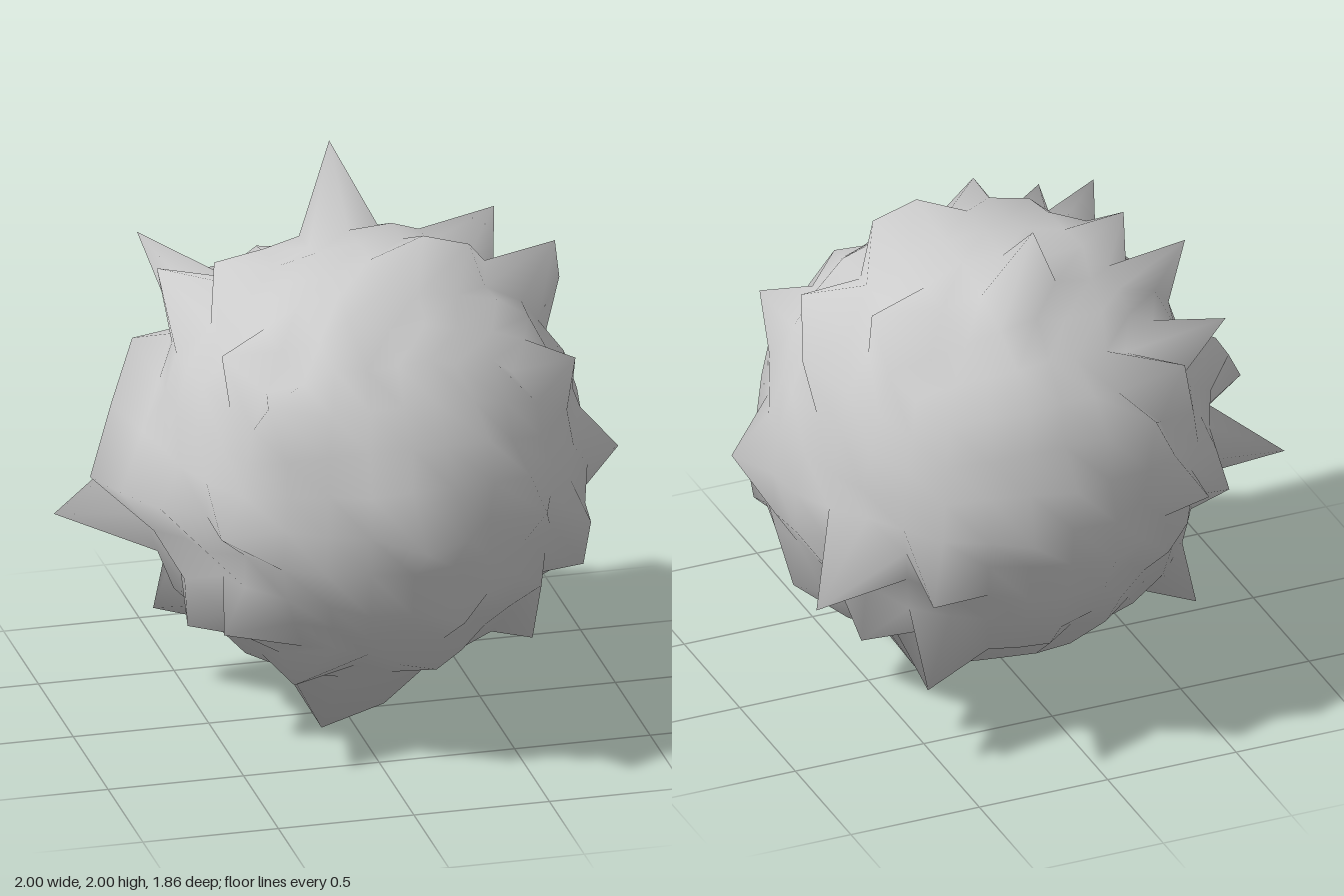
import * as THREE from 'three';
import { mergeVertices } from 'three/addons/utils/BufferGeometryUtils.js';

const CENTRE = new THREE.Vector3(0.07, 0.97, -0.06);
const SEGMENTS = 8;

// Points that stand out of the rough surface
const PEAKS = [
  // long spikes
  [0.07, 2, -0.49], [-1, 0.75, -0.28], [-0.92, 0.97, -0.07], [0.98, 0.97, 0.12],
  [1, 0.76, -0.69], [-0.12, 0, 0.14], [0.07, 0.97, 0.93], [0.25, 0.97, -0.93],
  // back
  [0.07, 1.14, -0.9], [0.63, 0.79, -0.89], [-0.46, 0.98, -0.85], [-0.25, 1.34, -0.86],
  [0.22, 1.45, -0.8], [-0.43, 1.45, -0.7], [-0.58, 1.62, -0.72], [0.57, 0.34, -0.7],
  // top
  [0.26, 1.86, 0.12], [0.43, 1.81, 0.12], [0.65, 1.73, -0.38], [-0.46, 1.75, -0.08],
  [-0.1, 1.7, 0.44], [-0.63, 1.68, -0.24], [-0.56, 1.6, 0.42],
  // left side
  [0.8, 1.7, -0.09], [0.85, 1.5, -0.22], [0.75, 1.45, 0.4], [0.8, 0.47, -0.02],
  [0.73, 0.46, -0.47], [0.79, 0.63, 0.36], [0.8, 0.82, 0.43], [0.61, 0.35, 0.33],
  // front
  [0.25, 0.97, 0.83], [0.25, 0.62, 0.76], [0.58, 0.97, 0.66], [-0.45, 1.48, 0.66],
  [-0.61, 0.97, 0.61], [-0.6, 0.6, 0.61], [0.2, 0.36, 0.55],
  // right side
  [-0.66, 0.82, -0.57], [-0.8, 1.17, -0.24], [-0.68, 1.35, -0.4], [-0.64, 0.49, 0.24],
  [-0.6, 0.29, -0.41], [-0.3, 0.31, 0.45], [-0.75, 0.97, 0.28], [-0.85, 0.97, 0.1],
  // underside
  [0.07, 0.08, -0.06], [0.42, 0.16, -0.23], [0.25, 0.15, -0.23], [0.07, 0.14, 0.3],
];

function seededRandom(seed) {
  return () => (seed = (seed * 16807) % 2147483647) / 2147483647;
}

// Sphere made from a subdivided cube with even angles between its vertices
function cubeSphere() {
  let geometry = new THREE.BoxGeometry(2, 2, 2, SEGMENTS, SEGMENTS, SEGMENTS);
  geometry.deleteAttribute('normal');
  geometry.deleteAttribute('uv');
  geometry = mergeVertices(geometry, 1e-3);
  const p = geometry.attributes.position;
  const v = new THREE.Vector3();
  const bend = (t) => Math.tan(t * Math.PI / 4);
  for (let i = 0; i < p.count; i++) {
    v.fromBufferAttribute(p, i);
    v.set(bend(v.x), bend(v.y), bend(v.z)).normalize();
    p.setXYZ(i, v.x, v.y, v.z);
  }
  // The four upright sides use the other diagonal
  const index = geometry.index.array;
  const perSide = SEGMENTS * SEGMENTS * 6;
  for (const side of [0, 1, 4, 5]) {
    for (let i = side * perSide; i < (side + 1) * perSide; i += 6) {
      const [a, b, d, , c] = index.slice(i, i + 6);
      index.set([a, b, c, a, c, d], i);
    }
  }
  return geometry;
}

export function createModel() {
  const geometry = cubeSphere();
  const p = geometry.attributes.position;
  const random = seededRandom(4711);

  // Uneven round body
  const directions = [];
  const points = [];
  for (let i = 0; i < p.count; i++) {
    const d = new THREE.Vector3().fromBufferAttribute(p, i);
    directions.push(d);
    points.push(d.clone().multiplyScalar(0.77 + 0.07 * random()).add(CENTRE));
  }

  // Pull the vertex nearest to each peak's direction out to the peak
  for (const peak of PEAKS) {
    const offset = new THREE.Vector3(...peak).sub(CENTRE);
    let best = 0;
    directions.forEach((d, i) => {
      if (d.dot(offset) > directions[best].dot(offset)) best = i;
    });
    points[best].set(...peak);
  }
  points.forEach((q, i) => p.setXYZ(i, q.x, q.y, q.z));

  // Soft shading: surface normals eased towards the round body
  geometry.computeVertexNormals();
  const n = geometry.attributes.normal;
  const normal = new THREE.Vector3();
  directions.forEach((d, i) => {
    normal.fromBufferAttribute(n, i).lerp(d, 0.6).normalize();
    n.setXYZ(i, normal.x, normal.y, normal.z);
  });

  const rock = new THREE.Mesh(geometry, new THREE.MeshStandardMaterial({ color: 0xcccccc }));
  rock.name = 'spikyRock';
  const group = new THREE.Group();
  group.name = 'rock';
  group.add(rock);
  return group;
}
